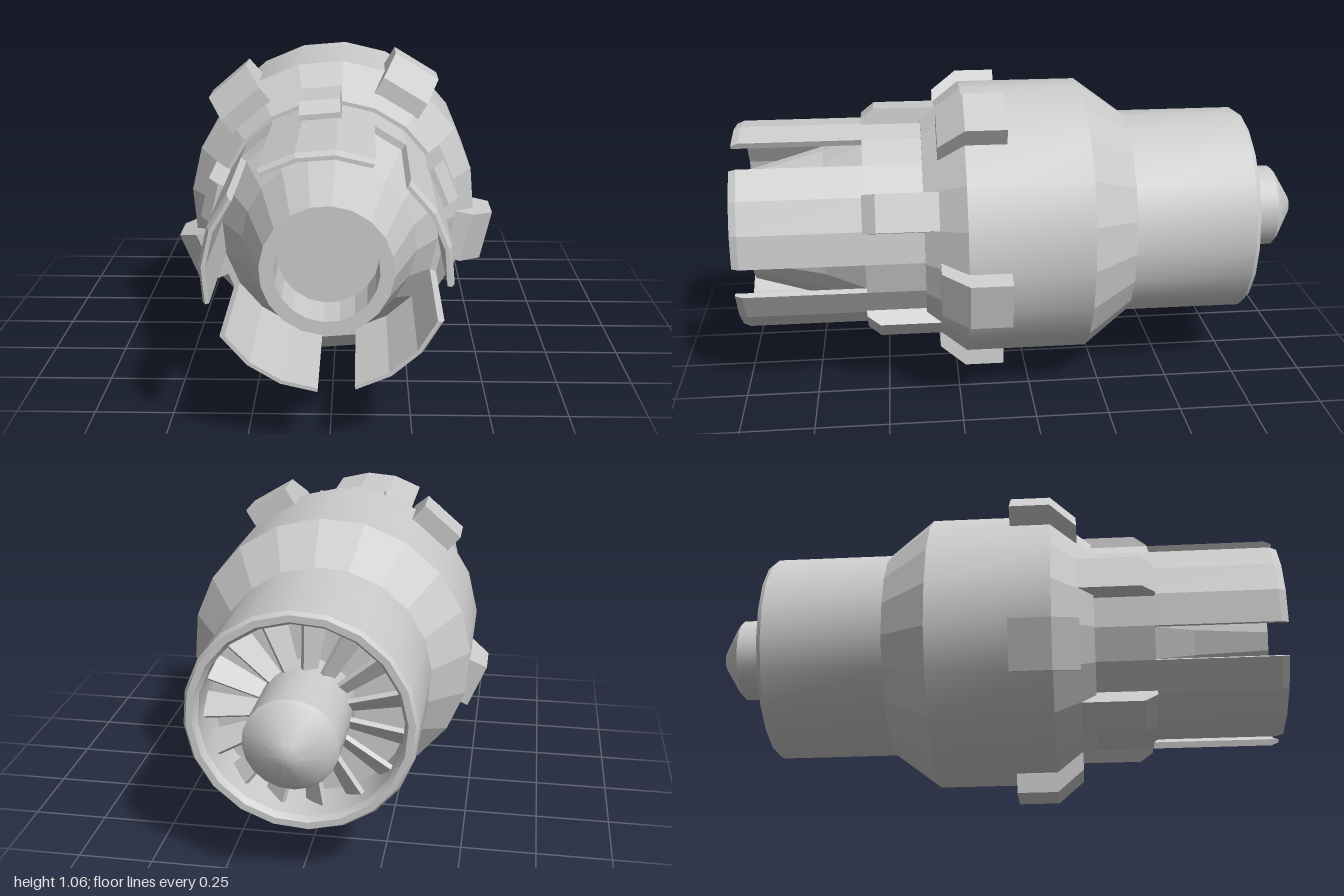
import * as THREE from 'three';
import { mergeGeometries, toCreasedNormals } from 'three/addons/utils/BufferGeometryUtils.js';

const SIDES = 20;
const STEP = (Math.PI * 2) / SIDES;
const PHASE = THREE.MathUtils.degToRad(13.8);   // turn of the facets about the axis
const flat = new THREE.MeshStandardMaterial({ color: 0xcccccc, flatShading: true, side: THREE.DoubleSide });
const smooth = new THREE.MeshStandardMaterial({ color: 0xcccccc, side: THREE.DoubleSide });

const toVectors = (profile) => profile.map(([r, z]) => new THREE.Vector2(r, z));

// Surface of revolution about z, from [radius, z] points
function turned(name, profile, isSmooth = false) {
  let geo = new THREE.LatheGeometry(toVectors(profile), SIDES, PHASE).rotateX(Math.PI / 2);
  if (isSmooth) geo = toCreasedNormals(geo, 0.4);
  const mesh = new THREE.Mesh(geo, isSmooth ? smooth : flat);
  mesh.name = name;
  return mesh;
}

// Block with a [radius, z] side profile, centred on the +x direction
function lug(name, profile, width, angle) {
  const geo = new THREE.ExtrudeGeometry(new THREE.Shape(toVectors(profile)), { depth: width, bevelEnabled: false });
  geo.translate(0, 0, -width / 2).rotateX(Math.PI / 2);
  const mesh = new THREE.Mesh(geo, flat);
  mesh.rotation.z = angle;
  mesh.name = name;
  return mesh;
}

// Curved plate three facets wide, closed at both long edges
function petal(start) {
  const section = [[0.345, 0.55], [0.367, 0.55], [0.367, 0.975], [0.357, 1], [0.345, 1]];
  const span = STEP * 3;
  const phi = start + Math.PI / 2;
  const parts = [new THREE.LatheGeometry(toVectors([...section, section[0]]), 3, phi, span)];
  for (const a of [phi, phi + span]) {
    parts.push(new THREE.ShapeGeometry(new THREE.Shape(toVectors(section))).rotateY(a - Math.PI / 2));
  }
  const mesh = new THREE.Mesh(mergeGeometries(parts).rotateX(Math.PI / 2), flat);
  mesh.name = 'petal';
  return mesh;
}

// Pitched fan blade, wider at the tip
function fanBlade(angle) {
  const geo = new THREE.BoxGeometry(0.2, 0.085, 0.016);
  const p = geo.attributes.position;
  for (let i = 0; i < p.count; i++) if (p.getX(i) < 0) p.setY(i, p.getY(i) * 0.55);
  geo.rotateX(0.7).translate(0.22, 0, -0.68);
  const mesh = new THREE.Mesh(geo, flat);
  mesh.rotation.z = angle;
  mesh.name = 'fanBlade';
  return mesh;
}

export function createModel() {
  const model = new THREE.Group();
  model.name = 'engine';

  // Casing, from the open rear duct to the neck
  model.add(
    turned('rearDuct', [[0, -0.6], [0.322, -0.6], [0.322, -0.77], [0.335, -0.79], [0.357, -0.79], [0.367, -0.775], [0.367, -0.36]], true),
    turned('rearTaper', [[0.367, -0.36], [0.487, -0.2]]),
    turned('drum', [[0.487, -0.2], [0.487, 0.22]], true),
    turned('frontTaper', [[0.487, 0.22], [0.38, 0.36], [0.367, 0.36]]),
    turned('neck', [[0.367, 0.36], [0.367, 0.56], [0.345, 0.56]]),
  );

  // Hollow nozzle inside the petals
  model.add(turned('nozzle', [[0.345, 0.56], [0.27, 0.7], [0.197, 0.955], [0.155, 0.955], [0.155, 0.8], [0, 0.8]]));

  // Hub with a pointed cap, and its fan
  model.add(turned('fanHub', [[0, -1], [0.035, -0.993], [0.13, -0.935], [0.147, -0.92], [0.147, -0.6]], true));
  const fan = new THREE.Group();
  fan.name = 'fan';
  for (let i = 0; i < 15; i++) fan.add(fanBlade((i / 15) * Math.PI * 2));
  model.add(fan);

  // Five petals with a small lug behind each, and a large lug in line with each gap
  const large = [[0.41, 0.08], [0.547, 0.08], [0.547, 0.22], [0.47, 0.31], [0.41, 0.31]];
  const small = [[0.34, 0.31], [0.415, 0.31], [0.415, 0.52], [0.38, 0.565], [0.36, 0.565]];
  for (let i = 0; i < 5; i++) {
    const start = PHASE + STEP * (3 + 4 * i);
    model.add(petal(start));
    model.add(lug('smallLug', small, 0.13, start + STEP * 1.5));
    model.add(lug('largeLug', large, 0.17, start - STEP * 0.5));
  }

  model.position.set(-0.007, 0.555, 0);
  const root = new THREE.Group();
  root.add(model);
  return root;
}
